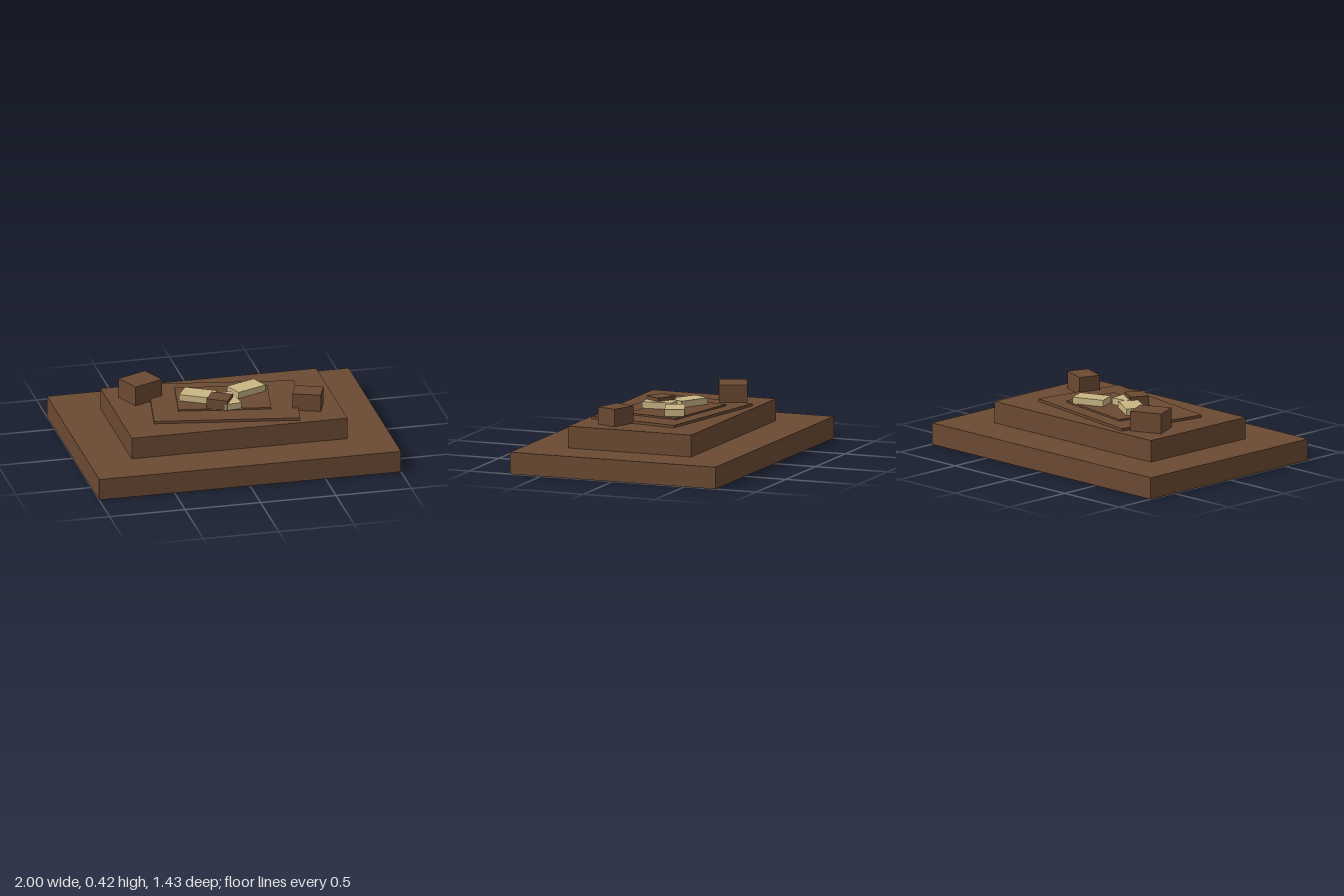
import * as THREE from 'three';

export function createModel() {
  const model = new THREE.Group();
  const brown = new THREE.MeshStandardMaterial({ color: 0x6b4a33 });
  brown.name = 'earth brown';
  const cream = new THREE.MeshStandardMaterial({ color: 0xc9b684 });
  cream.name = 'pale cream';

  // Box given by its plan size, bottom and top heights, centre and turn in degrees
  function block(name, material, width, depth, bottom, top, x = 0, z = 0, turn = 0) {
    const mesh = new THREE.Mesh(new THREE.BoxGeometry(width, top - bottom, depth), material);
    mesh.name = name;
    mesh.position.set(x, (bottom + top) / 2, z);
    mesh.rotation.y = THREE.MathUtils.degToRad(turn);
    model.add(mesh);
  }

  // Stepped base
  block('lowerStep', brown, 2, 1.43, 0, 0.143);
  block('upperStep', brown, 1.43, 0.857, 0.143, 0.286);

  // Thin turned slabs on top
  block('largeSlab', brown, 0.943, 0.627, 0.286, 0.303, 0, 0, -10);
  block('smallSlab', brown, 0.6, 0.372, 0.303, 0.314, 0, -0.031, -10);

  // Loose brown blocks
  block('backBlock', brown, 0.214, 0.18, 0.286, 0.417, -0.502, -0.219, 24);
  block('frontBlock', brown, 0.184, 0.145, 0.286, 0.4, 0.513, 0.18, -20);
  block('centreBlock', brown, 0.14, 0.125, 0.314, 0.38, -0.053, 0.1, -30);

  // Pale blocks
  block('leftPaleBlock', cream, 0.214, 0.133, 0.314, 0.357, -0.16, -0.049, -30);
  block('rightPaleBlock', cream, 0.214, 0.129, 0.314, 0.357, 0.168, -0.089, 22);
  block('frontPaleBlock', cream, 0.118, 0.2, 0.314, 0.357, 0.004, 0.084, 6);

  return model;
}
